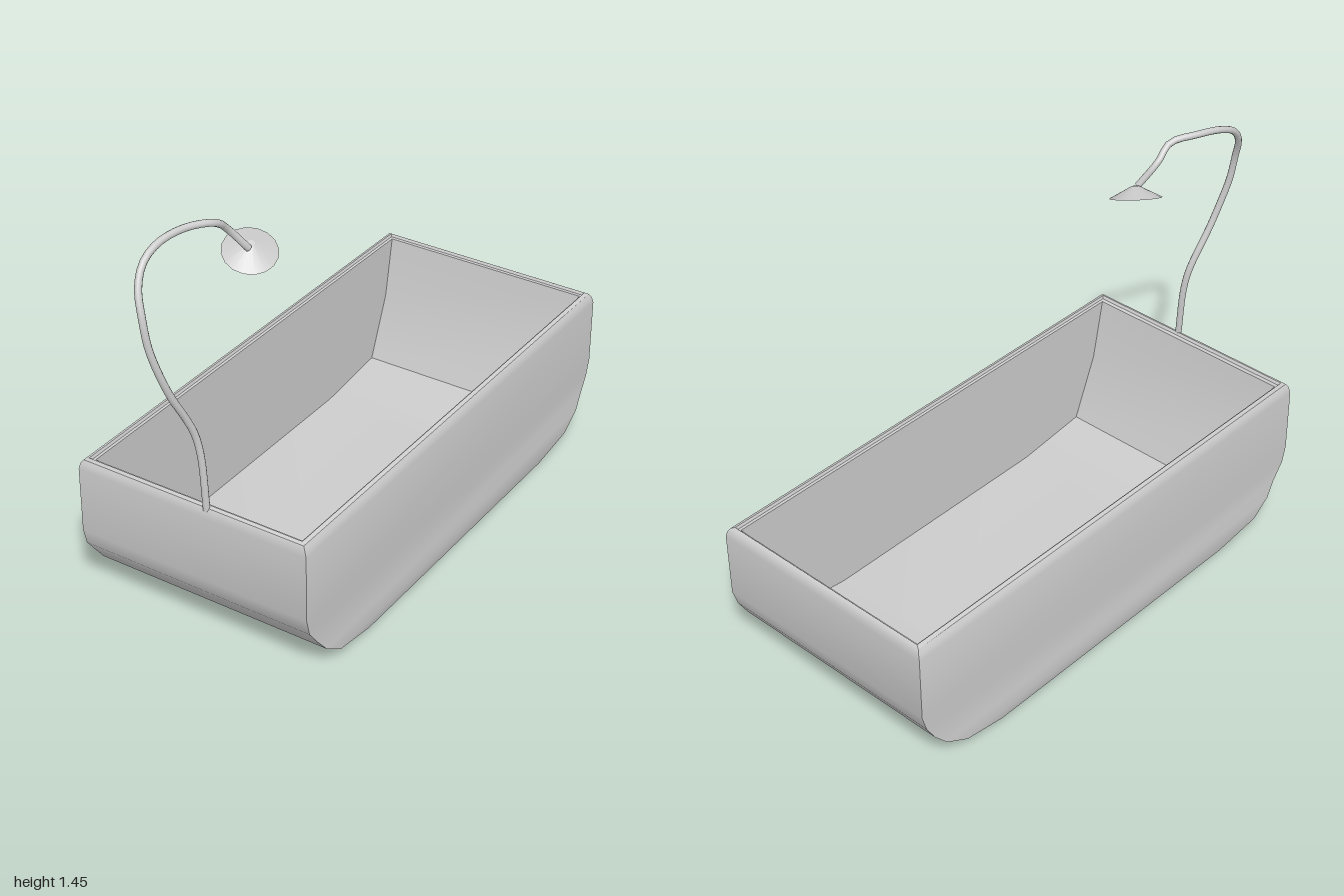
import * as THREE from 'three';
import { toCreasedNormals } from 'three/addons/utils/BufferGeometryUtils.js';

const material = new THREE.MeshStandardMaterial({ color: 0xcccccc, side: THREE.DoubleSide });

// Rectangular rings [half width, y, front z, back z], joined by strips.
function loftRectangles(rings) {
  const positions = [];
  const corners = ([w, y, front, back]) => [
    new THREE.Vector3(w, y, front), new THREE.Vector3(w, y, back),
    new THREE.Vector3(-w, y, back), new THREE.Vector3(-w, y, front),
  ];
  const addTriangle = (a, b, c) => {
    if (new THREE.Triangle(a, b, c).getArea() < 1e-7) return;
    for (const p of [a, b, c]) positions.push(p.x, p.y, p.z);
  };
  for (let i = 0; i < rings.length - 1; i++) {
    const lower = corners(rings[i]);
    const upper = corners(rings[i + 1]);
    for (let k = 0; k < 4; k++) {
      const n = (k + 1) % 4;
      addTriangle(lower[k], lower[n], upper[n]);
      addTriangle(lower[k], upper[n], upper[k]);
    }
  }
  const geometry = new THREE.BufferGeometry();
  geometry.setAttribute('position', new THREE.Float32BufferAttribute(positions, 3));
  return toCreasedNormals(geometry, THREE.MathUtils.degToRad(32));
}

function addMesh(group, name, geometry) {
  const mesh = new THREE.Mesh(geometry, material);
  mesh.name = name;
  group.add(mesh);
  return mesh;
}

export function createModel() {
  const group = new THREE.Group();
  group.name = 'bathtubWithShower';

  // Tub: underside, curved outer walls, rounded rim, then the inside down to the floor
  addMesh(group, 'tub', loftRectangles([
    [0, 0, 0.5, -0.64],
    [0.44, 0, 0.5, -0.64],
    [0.45, 0.04, 0.685, -0.81],
    [0.447, 0.09, 0.76, -0.9],
    [0.44, 0.14, 0.8, -0.945],
    [0.44, 0.2, 0.845, -0.98],
    [0.44, 0.26, 0.86, -0.998],
    [0.44, 0.5, 0.86, -1],
    [0.434, 0.522, 0.857, -0.996],
    [0.425, 0.535, 0.85, -0.988],
    [0.412, 0.54, 0.838, -0.98],
    [0.408, 0.53, 0.832, -0.975],
    [0.4, 0.527, 0.82, -0.967],
    [0.4, 0.3, 0.775, -0.925],
    [0.4, 0.07, 0.68, -0.83],
    [0.4, 0.037, 0.4, -0.54],
    [0, 0.037, 0.4, -0.54],
  ]));

  // Bent shower pipe
  const pipePoints = [
    [0.06, 0.525, 0.847], [0.048, 0.72, 0.85], [0.037, 0.8, 0.86], [0.025, 0.87, 0.887],
    [0.01, 0.96, 0.932], [-0.005, 1.05, 0.965], [-0.025, 1.15, 0.987], [-0.043, 1.25, 0.988],
    [-0.07, 1.33, 0.965], [-0.083, 1.39, 0.92], [-0.08, 1.425, 0.85], [-0.055, 1.438, 0.75],
    [-0.012, 1.427, 0.66], [-0.012, 1.38, 0.6], [0.025, 1.3, 0.545],
  ].map((p) => new THREE.Vector3(...p));
  const pipePath = new THREE.CatmullRomCurve3(pipePoints, false, 'centripetal');
  addMesh(group, 'showerPipe', new THREE.TubeGeometry(pipePath, 48, 0.012, 10, false));

  // Tilted conical shower head
  const head = addMesh(group, 'showerHead', new THREE.CylinderGeometry(0.012, 0.09, 0.04, 16));
  const axis = new THREE.Vector3(0.36, 1, 0.33).normalize();
  head.quaternion.setFromUnitVectors(new THREE.Vector3(0, 1, 0), axis);
  head.position.set(0.008, 1.272, 0.515).addScaledVector(axis, 0.02);

  return group;
}
